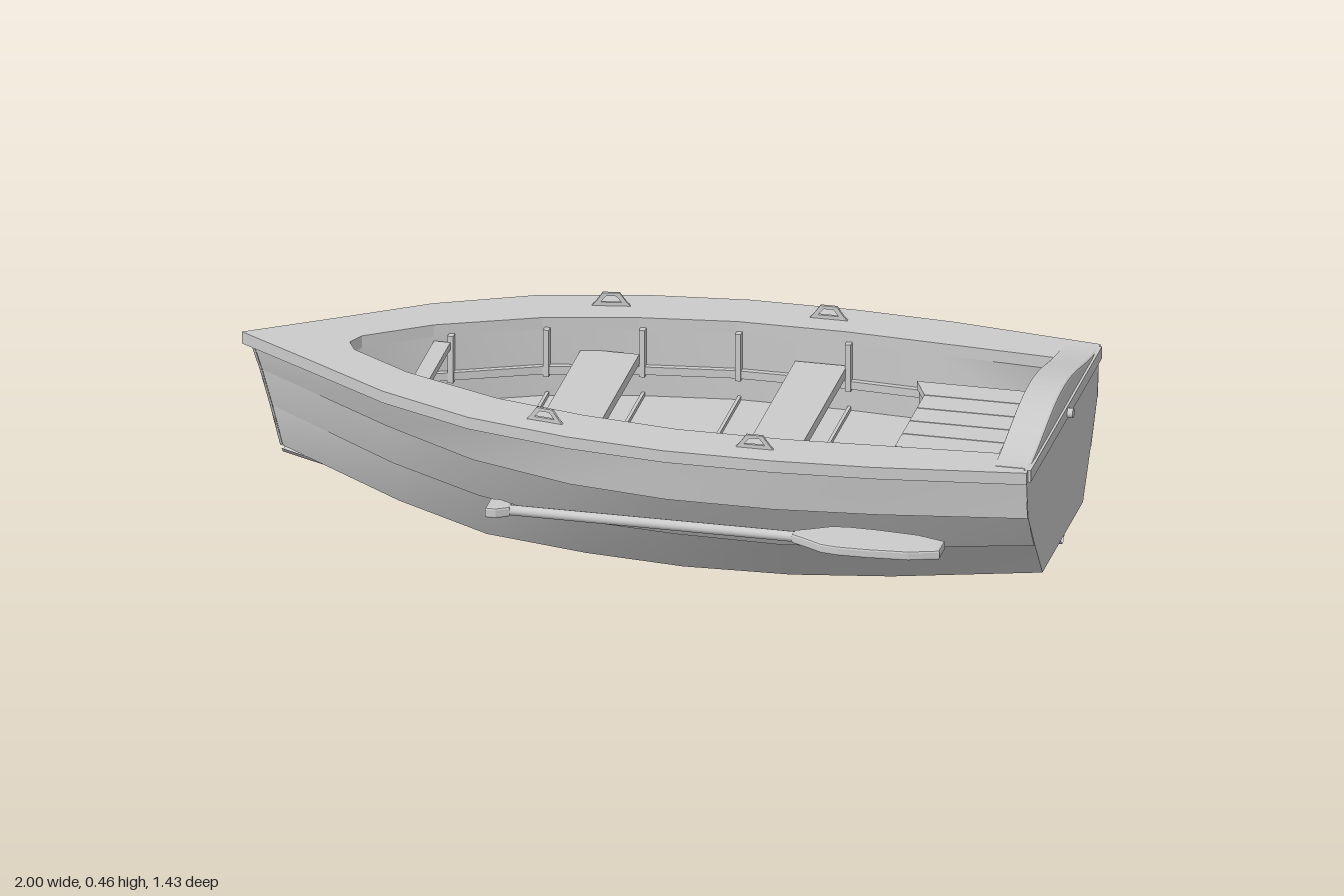
import * as THREE from 'three';

const CZ = -0.265; // centreline of the boat
const grey = new THREE.MeshStandardMaterial({ color: 0xcccccc, side: THREE.DoubleSide });

function add(parent, name, geometry) {
  const mesh = new THREE.Mesh(geometry, grey);
  mesh.name = name;
  parent.add(mesh);
  return mesh;
}

function box(parent, name, w, h, d, x, y, z) {
  const mesh = add(parent, name, new THREE.BoxGeometry(w, h, d));
  mesh.position.set(x, y, z);
  return mesh;
}

// Skin stretched over rows of [x, y, z] points
function loft(rows) {
  const n = rows[0].length, index = [];
  for (let r = 0; r < rows.length - 1; r++)
    for (let i = 0; i < n - 1; i++) {
      const a = r * n + i, b = a + n;
      index.push(a, b, a + 1, b, b + 1, a + 1);
    }
  const g = new THREE.BufferGeometry();
  g.setAttribute('position', new THREE.Float32BufferAttribute(rows.flat(2), 3));
  g.setIndex(index);
  g.computeVertexNormals();
  return g;
}

function extrude(points, depth, hole, bevel = 0) {
  const vec = list => list.map(p => new THREE.Vector2(...p));
  const shape = new THREE.Shape(vec(points));
  if (hole) shape.holes.push(new THREE.Path(vec(hole)));
  return new THREE.ExtrudeGeometry(shape, {
    depth, bevelEnabled: bevel > 0, bevelSize: bevel, bevelThickness: bevel, bevelOffset: -bevel, bevelSegments: 2,
  });
}

// Plate lying flat, outlined in x and z, with its top at height y
function plate(parent, name, points, thickness, y, hole) {
  const mesh = add(parent, name, extrude(points, thickness, hole));
  mesh.rotation.x = Math.PI / 2;
  mesh.position.set(0, y, CZ);
  return mesh;
}

// Closed outline from one half, mirrored across the second coordinate
const mirrorOutline = half =>
  [...half, ...half.slice().reverse().filter(p => p[1] > 0).map(p => [p[0], -p[1]])];

// Hull lines from sheer down to chine: stem x, half widths and heights per station
const STATIONS = [-0.6, -0.37, -0.12, 0.12, 0.38, 0.62, 0.978];
const LINES = [
  { stem: -0.97, w: [0, 0.245, 0.35, 0.41, 0.44, 0.44, 0.42, 0.375], y: [0.37, 0.37, 0.37, 0.37, 0.37, 0.37, 0.37, 0.37] },
  { stem: -0.95, w: [0, 0.2, 0.31, 0.385, 0.42, 0.42, 0.4, 0.36], y: [0.31, 0.285, 0.27, 0.265, 0.265, 0.265, 0.267, 0.275] },
  { stem: -0.925, w: [0, 0.15, 0.245, 0.31, 0.335, 0.34, 0.325, 0.29], y: [0.22, 0.17, 0.15, 0.14, 0.14, 0.14, 0.15, 0.176] },
  { stem: -0.9, w: [0, 0.09, 0.17, 0.22, 0.245, 0.245, 0.235, 0.21], y: [0.12, 0.045, 0.017, 0.015, 0.015, 0.02, 0.035, 0.07] },
];
const hullRow = (line, side, out = 0) => line.w.map((w, i) =>
  [i ? STATIONS[i - 1] : line.stem, line.y[i], CZ + side * (w + (i ? out : 0.004))]);

// Opening of the deck: [x, half width]
const OPENING = [[-0.74, 0], [-0.72, 0.04], [-0.57, 0.14], [-0.33, 0.24], [-0.11, 0.29],
  [0.12, 0.32], [0.38, 0.32], [0.6, 0.305], [0.89, 0.285]];
function openingAt(x) {
  const i = Math.max(1, OPENING.findIndex(p => p[0] >= x));
  const [a, b] = [OPENING[i - 1], OPENING[i]];
  return a[1] + (b[1] - a[1]) * (x - a[0]) / (b[0] - a[0]);
}
const FLOOR = 0.2;

function buildHull(boat) {
  const hull = new THREE.Group();
  hull.name = 'hull';
  boat.add(hull);
  // Overlapping planks with a small lip at each lower edge
  for (const side of [1, -1])
    for (let k = 0; k < 3; k++) {
      const lap = k < 2 ? 0.006 : 0;
      const lower = hullRow(LINES[k + 1], side, lap);
      add(hull, 'strake', loft([hullRow(LINES[k], side), lower]));
      if (lap) add(hull, 'strakeLip', loft([lower, hullRow(LINES[k + 1], side)]));
    }
  add(hull, 'bottom', loft([hullRow(LINES[3], 1), hullRow(LINES[3], -1)]));

  // Keel strip under the bottom
  const keelRow = (z, drop) => hullRow(LINES[3], 0).map(p => [p[0], p[1] - drop, CZ + z]);
  add(hull, 'keel', loft([keelRow(0.02, 0), keelRow(0.005, 0.015), keelRow(-0.005, 0.015), keelRow(-0.02, 0)]));

  // Stem post closing the raked bow
  const stem = off => LINES.map(l => [l.stem + (off ? 0 : -0.008), l.y[0], CZ + off]);
  add(hull, 'stem', loft([stem(0.006), stem(0), stem(-0.006)]));

  // Flat transom
  const end = LINES.map(l => [l.w[7], l.y[7]]);
  const transom = add(hull, 'transom', extrude([...end, ...end.slice().reverse().map(p => [-p[0], p[1]])], 0.012));
  transom.rotation.y = Math.PI / 2;
  transom.position.set(0.966, 0, CZ);
}

function buildDeck(boat) {
  // Wide gunwale deck around the opening
  const outer = [[-1, 0], [-0.8, 0.13], [-0.6, 0.262], [-0.37, 0.365], [-0.12, 0.423], [0.12, 0.45],
    [0.38, 0.45], [0.62, 0.433], [0.98, 0.385]];
  plate(boat, 'gunwale', mirrorOutline(outer), 0.03, 0.4, mirrorOutline(OPENING));

  // Upright inner walls and flat floor
  const loop = mirrorOutline(OPENING);
  const ring = y => [...loop, loop[0]].map(([x, z]) => [x, y, CZ + z]);
  add(boat, 'innerWall', loft([ring(0.37), ring(FLOOR)]));
  plate(boat, 'floor', loop, 0.004, FLOOR);

  // Raised crest over the stern, a smooth hump
  const crest = [[0.37, 0.385], [-0.37, 0.385]];
  for (let i = 0; i <= 24; i++) {
    const z = -0.36 + i * 0.03;
    crest.push([z, 0.401 + 0.054 * Math.pow(Math.cos(z / 0.36 * Math.PI / 2), 1.7)]);
  }
  const top = add(boat, 'sternCrest', extrude(crest, 0.075, null, 0.006));
  top.rotation.y = Math.PI / 2;
  top.position.set(0.9, 0, CZ);
  box(boat, 'sternRail', 0.016, 0.03, 0.74, 0.979, 0.386, CZ);
  const eye = add(boat, 'sternEye', new THREE.CylinderGeometry(0.012, 0.012, 0.022, 12));
  eye.rotation.z = Math.PI / 2;
  eye.position.set(0.989, 0.383, CZ - 0.018);
}

function buildInterior(boat) {
  // Seat risers along both walls, joined by a bar across the bow
  const run = OPENING.slice(2);
  for (const s of [1, -1]) {
    const edge = (inset, order) => order.map(([x, w]) => [x, s * (w - inset)]);
    plate(boat, 'seatRiser', [...edge(0, run), ...edge(0.014, run.slice().reverse())], 0.02, 0.28);
  }
  box(boat, 'bowBar', 0.04, 0.018, 0.28, -0.55, 0.35, CZ);

  // Frames: a low cross member with an upright on each side
  for (const x of [-0.53, -0.32, -0.1, 0.125, 0.39]) {
    const half = openingAt(x);
    box(boat, 'floorFrame', 0.008, 0.01, half * 2, x, FLOOR + 0.005, CZ);
    for (const s of [1, -1]) box(boat, 'rib', 0.014, 0.12, 0.018, x, 0.315, CZ + s * (half - 0.009));
  }
  // Rowing benches resting on the risers
  for (const [a, b] of [[-0.245, -0.105], [0.26, 0.385]])
    box(boat, 'thwart', b - a, 0.025, openingAt((a + b) / 2) * 2 - 0.01, (a + b) / 2, 0.3025, CZ);

  // Slatted stern seat; the outer slats have slanted ends reaching forward
  for (let i = -3; i <= 3; i++) {
    const a = (i - 0.48) * 0.0765, b = (i + 0.48) * 0.0765;
    const front = z => (Math.abs(z) > 0.22 ? 0.565 : 0.6);
    plate(boat, 'seatSlat', [[front(a), a], [0.89, a], [0.89, b], [front(b), b]], 0.02, 0.315);
  }
  // Front board following the slanted ends
  const front = y => [[0.57, -0.3], [0.57, -0.265], [0.606, -0.19], [0.606, 0.19], [0.57, 0.265], [0.57, 0.3]]
    .map(([x, z]) => [x, y, CZ + z]);
  add(boat, 'seatFront', loft([front(0.3), front(FLOOR)]));
}

function buildOarlocks(boat) {
  const outline = [[-0.045, 0], [0.045, 0], [0.035, 0.012], [0.02, 0.033], [-0.02, 0.033], [-0.035, 0.012]];
  const hole = [[-0.025, 0.009], [0.025, 0.009], [0.012, 0.025], [-0.012, 0.025]];
  for (const [x, off, turn] of [[-0.19, 0.345, 0.17], [0.325, 0.385, 0]])
    for (const s of [1, -1]) {
      const lock = add(boat, 'oarlock', extrude(outline, 0.007, hole).translate(0, 0, -0.0035));
      lock.position.set(x, 0.4, CZ + s * off);
      lock.rotation.y = -s * turn;
    }
}

function buildPaddle() {
  const paddle = new THREE.Group();
  paddle.name = 'paddle';
  paddle.position.set(0, 0.4225, 0.65);
  const shaft = add(paddle, 'shaft', new THREE.CylinderGeometry(0.0125, 0.0125, 0.74, 12));
  shaft.rotation.z = Math.PI / 2;
  shaft.position.x = 0.2;
  const flat = (name, half, t) => {
    const m = add(paddle, name, extrude(mirrorOutline(half), t - 0.01, null, 0.005).translate(0, 0, 0.005 - t / 2));
    m.rotation.x = Math.PI / 2;
  };
  flat('blade', [[0.54, 0.013], [0.58, 0.033], [0.62, 0.055], [0.66, 0.061], [0.73, 0.06], [0.83, 0.052], [0.9, 0.03]], 0.024);
  flat('grip', [[-0.195, 0.03], [-0.17, 0.03], [-0.14, 0.013]], 0.026);
  return paddle;
}

export function createModel() {
  const model = new THREE.Group();
  model.name = 'rowingBoatWithPaddle';
  const boat = new THREE.Group();
  boat.name = 'boat';
  buildHull(boat);
  buildDeck(boat);
  buildInterior(boat);
  buildOarlocks(boat);
  model.add(boat, buildPaddle());
  return model;
}
